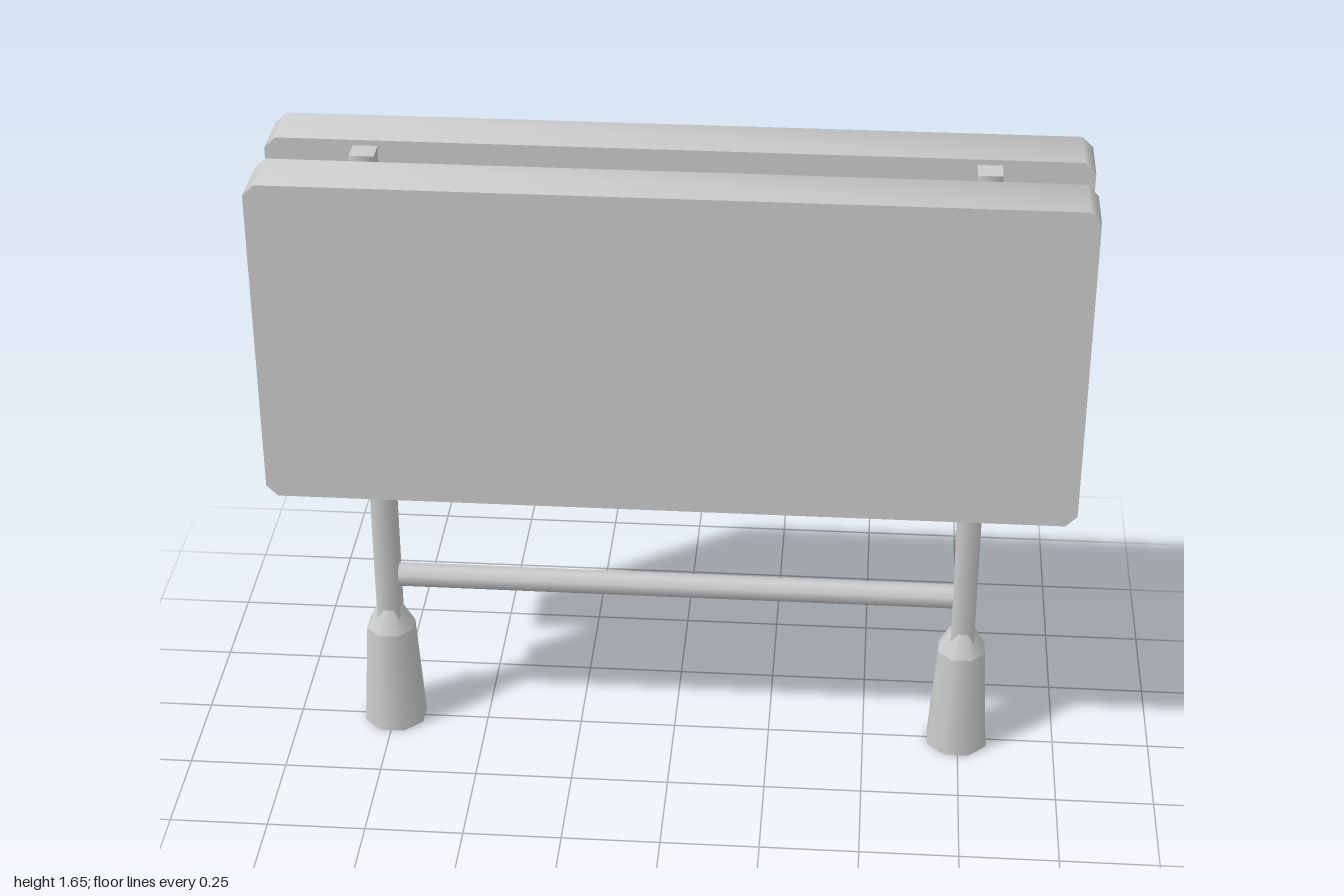
import * as THREE from 'three';
import { toCreasedNormals } from 'three/addons/utils/BufferGeometryUtils.js';

const material = new THREE.MeshStandardMaterial({ color: 0xcccccc, side: THREE.DoubleSide });

function add(parent, name, geometry, x = 0, y = 0, z = 0) {
  const mesh = new THREE.Mesh(geometry, material);
  mesh.name = name;
  mesh.position.set(x, y, z);
  parent.add(mesh);
  return mesh;
}

// Prism with flat sides facing the axes; radii are measured to the flats
function prism(top, bottom, height, sides, open = false) {
  const k = 1 / Math.cos(Math.PI / sides);
  return new THREE.CylinderGeometry(top * k, bottom * k, height, sides, 1, open).rotateY(Math.PI / sides);
}

// Board with small cut corners, centred on its own middle
function boardGeometry(w, h, d, c) {
  const x = w / 2, y = h / 2;
  const shape = new THREE.Shape([
    [-x + c, -y], [x - c, -y], [x, -y + c], [x, y - c],
    [x - c, y], [-x + c, y], [-x, y - c], [-x, -y + c],
  ].map(([a, b]) => new THREE.Vector2(a, b)));
  const geometry = new THREE.ExtrudeGeometry(shape, { depth: d, bevelEnabled: false });
  return toCreasedNormals(geometry.translate(0, 0, -d / 2), 0.9);
}

export function createModel() {
  const model = new THREE.Group();
  model.name = 'doubleSidedSign';

  // Front and back boards
  const board = boardGeometry(2, 0.85, 0.148, 0.028);
  add(model, 'frontBoard', board, 0, 1.227, 0.134);
  add(model, 'backBoard', board, 0, 1.227, -0.134);

  // Posts with tapered feet and board spacers
  for (const [side, sx] of [['left', 1], ['right', -1]]) {
    const leg = new THREE.Group();
    leg.name = side + 'Leg';
    leg.position.x = sx * 0.747;
    add(leg, 'post', prism(0.03, 0.03, 1.35, 4), 0, 0.977);
    add(leg, 'foot', prism(0.06, 0.077, 0.29, 8), 0, 0.145);
    add(leg, 'footShoulder', prism(0.03, 0.06, 0.06, 8), 0, 0.32);
    for (const y of [0.935, 1.523]) add(leg, 'spacer', prism(0.06, 0.06, 0.087, 8), 0, y);
    model.add(leg);
  }

  // Cross bar between the posts
  add(model, 'crossBar', prism(0.029, 0.029, 1.45, 8, true).rotateZ(Math.PI / 2), 0, 0.447);

  return model;
}
